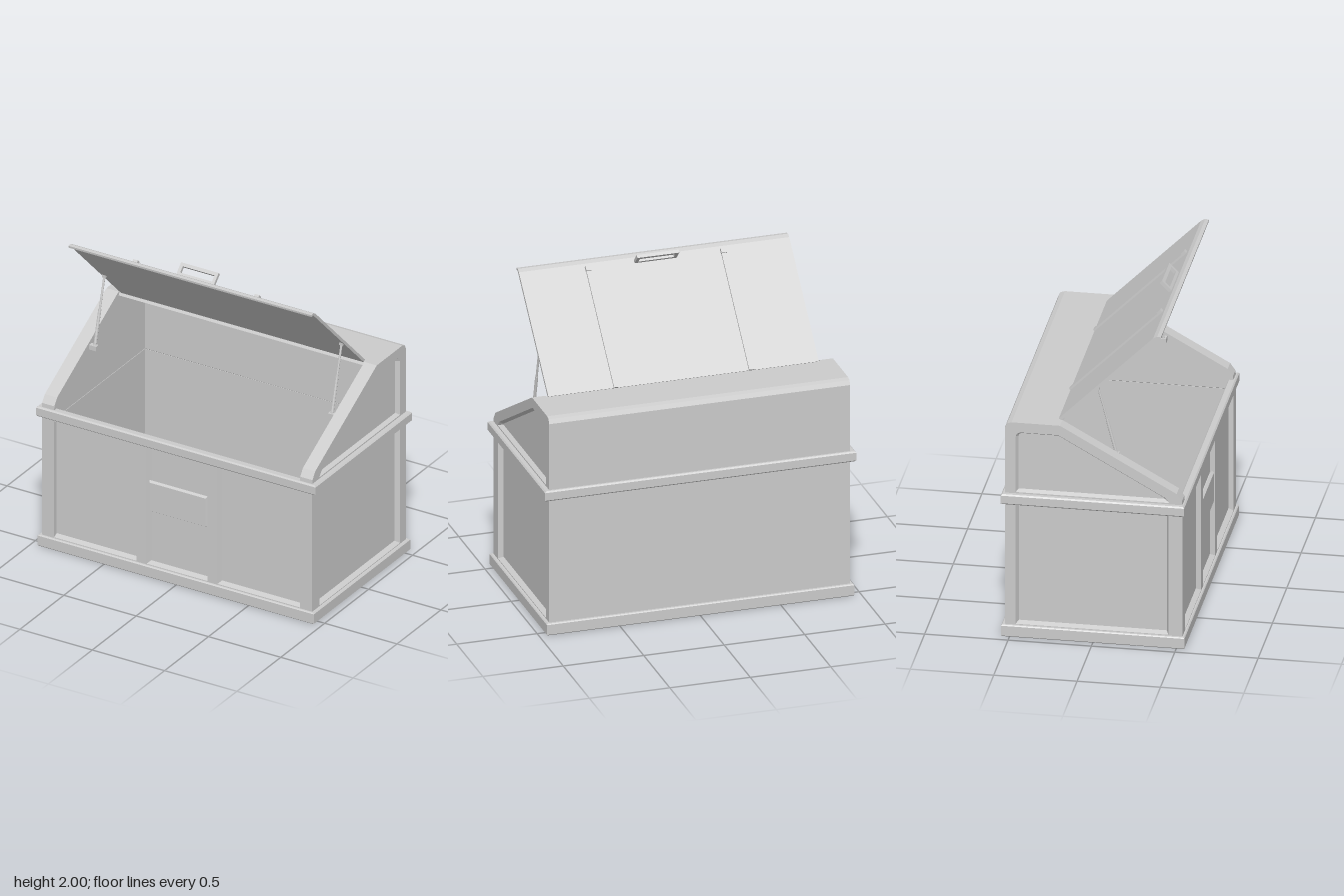
import * as THREE from 'three';

const grey = new THREE.MeshStandardMaterial({ color: 0xcccccc, flatShading: true, side: THREE.DoubleSide });

function add(parent, name, geometry, x = 0, y = 0, z = 0) {
  const mesh = new THREE.Mesh(geometry, grey);
  mesh.name = name;
  mesh.position.set(x, y, z);
  parent.add(mesh);
  return mesh;
}

const box = (w, h, d) => new THREE.BoxGeometry(w, h, d);
const rect = (a0, a1, b0, b1) => [[a0, b0], [a1, b0], [a1, b1], [a0, b1]];

function makeShape(points, holes = []) {
  const toVec = ([a, b]) => new THREE.Vector2(a, b);
  const shape = new THREE.Shape(points.map(toVec));
  holes.forEach((h) => shape.holes.push(new THREE.Path(h.map(toVec))));
  return shape;
}

// Extrude an (x, y) outline from z0 to z1
function extrudeZ(points, z0, z1, holes) {
  return new THREE.ExtrudeGeometry(makeShape(points, holes), { depth: z1 - z0, bevelEnabled: false }).translate(0, 0, z0);
}

// Extrude a (z, y) outline from x0 to x1
function extrudeX(points, x0, x1, holes = []) {
  const flip = (list) => list.map(([z, y]) => [-z, y]);
  return extrudeZ(flip(points), x0, x1, holes.map(flip)).rotateY(Math.PI / 2);
}

// Rectangular frame lying flat, with small chamfers
function flatFrame(halfX, halfZ, holeX, holeZ, y0, y1, c) {
  const shape = makeShape(rect(-halfX, halfX, -halfZ, halfZ), [rect(-holeX, holeX, -holeZ, holeZ)]);
  return new THREE.ExtrudeGeometry(shape, {
    depth: y1 - y0 - 2 * c, bevelSize: c, bevelThickness: c, bevelOffset: -c, bevelSegments: 1,
  }).rotateX(-Math.PI / 2).translate(0, y0 + c, 0);
}

// Move every edge of a counter-clockwise polygon inwards by d
function inset(points, d) {
  const n = points.length;
  return points.map((p, i) => {
    const a = points[(i + n - 1) % n], b = points[(i + 1) % n];
    const l1 = Math.hypot(p[0] - a[0], p[1] - a[1]), l2 = Math.hypot(b[0] - p[0], b[1] - p[1]);
    const n1 = [-(p[1] - a[1]) / l1, (p[0] - a[0]) / l1], n2 = [-(b[1] - p[1]) / l2, (b[0] - p[0]) / l2];
    const k = d / (1 + n1[0] * n2[0] + n1[1] * n2[1]);
    return [p[0] + (n1[0] + n2[0]) * k, p[1] + (n1[1] + n2[1]) * k];
  });
}

// Sloping band between an outline and its inset copy; place(a, b, level) gives xyz
function bevelBand(points, d, outer, inner, place) {
  const low = inset(points, d), pos = [];
  points.forEach((p, i) => {
    const j = (i + 1) % points.length;
    const A = place(...p, outer), B = place(...points[j], outer);
    const C = place(...low[j], inner), D = place(...low[i], inner);
    pos.push(...A, ...B, ...C, ...A, ...C, ...D);
  });
  const g = new THREE.BufferGeometry();
  g.setAttribute('position', new THREE.Float32BufferAttribute(pos, 3));
  g.computeVertexNormals();
  return g;
}

function rod(parent, name, from, to, radius) {
  const a = new THREE.Vector3(...from), b = new THREE.Vector3(...to);
  const mesh = add(parent, name, new THREE.CylinderGeometry(radius, radius, a.distanceTo(b), 8));
  mesh.position.copy(a).lerp(b, 0.5);
  mesh.quaternion.setFromUnitVectors(new THREE.Vector3(0, 1, 0), b.sub(a).normalize());
}

// Side wall: solid core, raised frame and chamfered recess
function sideWall(parent, name, s, outline, hole, depth) {
  const x = (a, b) => [Math.min(s * a, s * b), Math.max(s * a, s * b)];
  const face = 0.935, sunk = face - depth;
  add(parent, name + 'Core', extrudeX(outline, ...x(0.85, sunk)));
  add(parent, name + 'Frame', extrudeX(outline, ...x(sunk, face), [hole]));
  add(parent, name + 'Bevel', bevelBand(hole, 0.014, s * face, s * sunk, (z, y, l) => [l, y, z]));
}

export function createModel() {
  const model = new THREE.Group();
  model.name = 'storageBin';

  // Base plinth, floor and rim
  add(model, 'plinth', flatFrame(0.955, 0.55, 0.91, 0.5, 0, 0.075, 0.006));
  add(model, 'floor', box(1.86, 0.02, 1.06), 0, 0.06, 0);
  add(model, 'rim', flatFrame(0.967, 0.55, 0.85, 0.5, 0.865, 0.93, 0.008));

  // Lower front wall with three recessed bays and two posts between them
  const bays = [[-0.875, -0.28], [-0.21, 0.21], [0.28, 0.875]].map(([a, b]) => rect(a, b, 0.08, 0.855));
  const front = rect(-0.935, 0.935, 0.05, 0.87);
  add(model, 'frontCore', extrudeZ(front, 0.49, 0.505));
  add(model, 'frontFrame', extrudeZ(front, 0.505, 0.535, bays));
  bays.forEach((bay) => add(model, 'bayBevel', bevelBand(bay, 0.014, 0.535, 0.505, (x, y, l) => [x, y, l])));

  // Small hatch in the middle bay
  const hatch = rect(-0.203, 0.203, 0.43, 0.635);
  add(model, 'hatch', extrudeZ(inset(hatch, 0.01), 0.5, 0.53));
  add(model, 'hatchBevel', bevelBand(hatch, 0.01, 0.515, 0.53, (x, y, l) => [x, y, l]));

  // Plain lower back wall
  add(model, 'backWall', box(1.87, 0.82, 0.03), 0, 0.46, -0.515);

  // Lower side walls and hood cheeks
  const lower = rect(-0.53, 0.535, 0.05, 0.87);
  const lowerHole = rect(-0.465, 0.45, 0.08, 0.855);
  const cheek = [[-0.53, 0.92], [0.535, 0.92], [0.532, 0.955], [0.5, 1.0], [-0.2, 1.39], [-0.49, 1.39],
    [-0.517, 1.382], [-0.53, 1.355]];
  const cheekHole = [[-0.465, 0.938], [0.455, 0.938], [0.43, 0.97], [-0.21, 1.328], [-0.435, 1.328],
    [-0.457, 1.32], [-0.465, 1.3]];
  for (const s of [1, -1]) {
    const side = s > 0 ? 'left' : 'right';
    sideWall(model, side + 'Wall', s, lower, lowerHole, 0.03);
    sideWall(model, side + 'Cheek', s, cheek, cheekHole, 0.025);
  }

  // Hood back and top, one bent shell
  add(model, 'hoodShell', extrudeX([[-0.215, 1.39], [-0.49, 1.39], [-0.517, 1.382], [-0.53, 1.355], [-0.53, 0.92],
    [-0.5, 0.92], [-0.5, 1.35], [-0.485, 1.365], [-0.2, 1.365]], -0.85, 0.85));

  // Open lid, hinged at the front edge of the hood top
  const lid = new THREE.Group();
  lid.name = 'lid';
  lid.position.set(0, 1.39, -0.22);
  lid.rotation.x = -Math.PI / 4;
  model.add(lid);
  add(lid, 'lidPanel', extrudeX([[0, -0.014], [0, 0.004], [0.8, 0.004], [0.826, -0.004], [0.84, -0.022],
    [0.83, -0.03], [0.814, -0.014]], -0.84, 0.84));
  for (const s of [1, -1]) {
    add(lid, 'lidRib', box(0.028, 0.012, 0.77), s * 0.42, 0.009, 0.385);
    add(lid, 'lidRibEnd', box(0.032, 0.02, 0.03), s * 0.42, 0.013, 0.765);
  }
  add(lid, 'handle', extrudeZ(rect(-0.13, 0.13, 0, 0.084), 0.763, 0.783, [rect(-0.11, 0.11, 0.022, 0.062)]));

  // Lid stays with wall and lid brackets
  for (const s of [1, -1]) {
    const x = s * 0.82;
    rod(model, 'stayTube', [x, 1.17, 0.123], [x, 1.4, 0.064], 0.01);
    rod(model, 'stayRod', [x, 1.4, 0.064], [x, 1.605, 0.01], 0.007);
    add(model, 'stayFoot', box(0.05, 0.03, 0.03), s * 0.826, 1.172, 0.123);
    add(model, 'stayHead', box(0.025, 0.02, 0.02), x, 1.602, 0.01);
  }
  return model;
}
